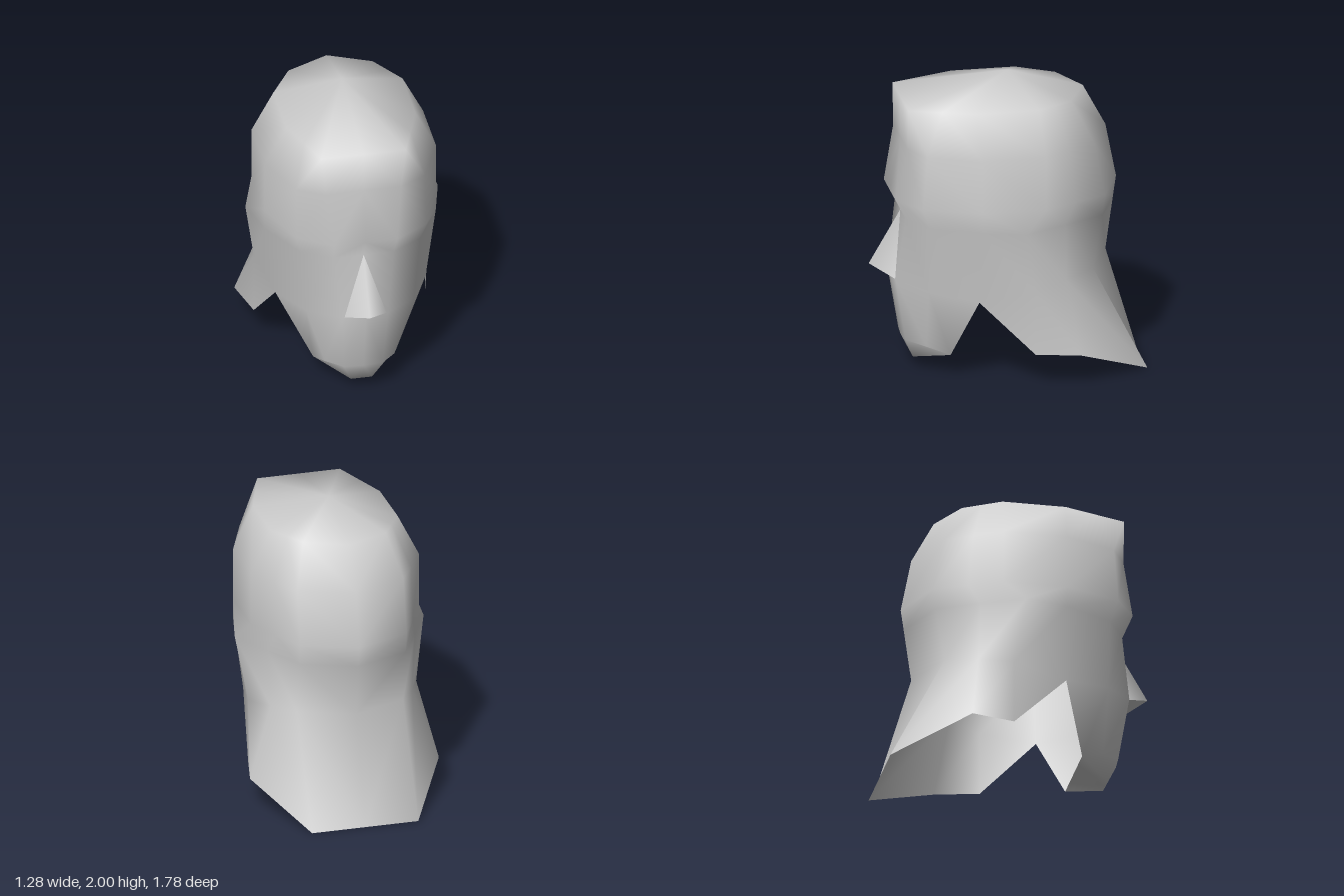
import * as THREE from 'three';
import { mergeVertices } from 'three/addons/utils/BufferGeometryUtils.js';

const grey = new THREE.MeshStandardMaterial({ color: 0xcccccc, side: THREE.DoubleSide });
grey.name = 'grey';

// Collects triangles on the +x half together with their mirror images
function addTriangle(out, a, b, c) {
  const [va, vb, vc] = [a, b, c].map((p) => new THREE.Vector3(...p));
  if (vb.sub(va).cross(vc.sub(va)).length() < 1e-6) return;
  const flip = (p) => [-p[0], p[1], p[2]];
  out.push(...a, ...b, ...c, ...flip(a), ...flip(c), ...flip(b));
}

// Joins rows of points, listed from top to bottom and from front to back
function addRows(out, rows) {
  for (let r = 0; r + 1 < rows.length; r++) {
    const top = rows[r], low = rows[r + 1];
    for (let i = 0; i + 1 < top.length; i++) {
      addTriangle(out, top[i], low[i], low[i + 1]);
      addTriangle(out, top[i], low[i + 1], top[i + 1]);
    }
  }
}

function smoothMesh(name, positions) {
  let geometry = new THREE.BufferGeometry();
  geometry.setAttribute('position', new THREE.Float32BufferAttribute(positions, 3));
  geometry = mergeVertices(geometry, 1e-4);
  geometry.computeVertexNormals();
  const mesh = new THREE.Mesh(geometry, grey);
  mesh.name = name;
  return mesh;
}

// A level ring from [x, z] pairs
const ring = (y, pairs) => pairs.map(([x, z]) => [x, y, z]);

export function createModel() {
  const group = new THREE.Group();
  group.name = 'head';

  // Skull: crown point, then half rings from forehead to back of head
  const crown = Array(8).fill([0, 2, -0.03]);
  const top = ring(1.86, [[0, 0.68], [0.28, 0.68], [0.355, 0.47], [0.43, 0.26], [0.43, -0.16], [0.355, -0.28], [0.28, -0.4], [0, -0.53]]);
  const temple = ring(1.58, [[0, 0.68], [0.25, 0.68], [0.43, 0.58], [0.57, 0.24], [0.57, -0.18], [0.465, -0.36], [0.36, -0.54], [0, -0.68]]);
  const brow = ring(1.22, [[0, 0.75], [0.21, 0.75], [0.43, 0.61], [0.57, 0.24], [0.57, -0.18], [0.465, -0.395], [0.36, -0.61], [0, -0.75]]);
  const eyes = ring(1.08, [[0, 0.68], [0.2, 0.68], [0.4, 0.56], [0.57, 0.24], [0.64, -0.04], [0.5, -0.32], [0.36, -0.59], [0, -0.73]]);
  const mouth = [
    [0, 0.65, 0.75], [0.15, 0.65, 0.74], [0.36, 0.62, 0.56], [0.5, 0.58, 0.25],
    [0.57, 0.65, -0.11], [0.48, 0.69, -0.33], [0.36, 0.72, -0.53], [0, 0.72, -0.68],
  ];
  const shell = [];
  addRows(shell, [crown, top, temple, brow, eyes, mouth]);

  // Jaw, chin and the floor under the chin
  const jawCorner = [0.28, 0.15, 0.4];
  addRows(shell, [
    mouth.slice(0, 4),
    [[0, 0.22, 0.68], [0.13, 0.22, 0.67], [0.23, 0.2, 0.55], jawCorner],
    [[0, 0.08, 0.61], [0.07, 0.08, 0.61], jawCorner, jawCorner],
    [[0, 0.15, 0.4], [0.14, 0.15, 0.4], jawCorner, jawCorner],
  ]);

  // Flared neck, open underneath
  addRows(shell, [
    mouth.slice(3),
    [mouth[3], [0.57, 0.22, -0.11], [0.64, 0.22, -0.4], [0.36, 0.005, -0.89], [0, 0.005, -0.89]],
  ]);
  group.add(smoothMesh('headShell', shell));

  // Nose wedge
  const root = [0, 1.08, 0.68], tip = [0, 0.72, 0.89];
  const nostril = [0.14, 0.65, 0.74], base = [0, 0.65, 0.75];
  const bridge = [], underside = [];
  addTriangle(bridge, root, tip, nostril);
  addTriangle(underside, tip, base, nostril);
  group.add(smoothMesh('noseBridge', bridge), smoothMesh('noseUnderside', underside));

  return group;
}
